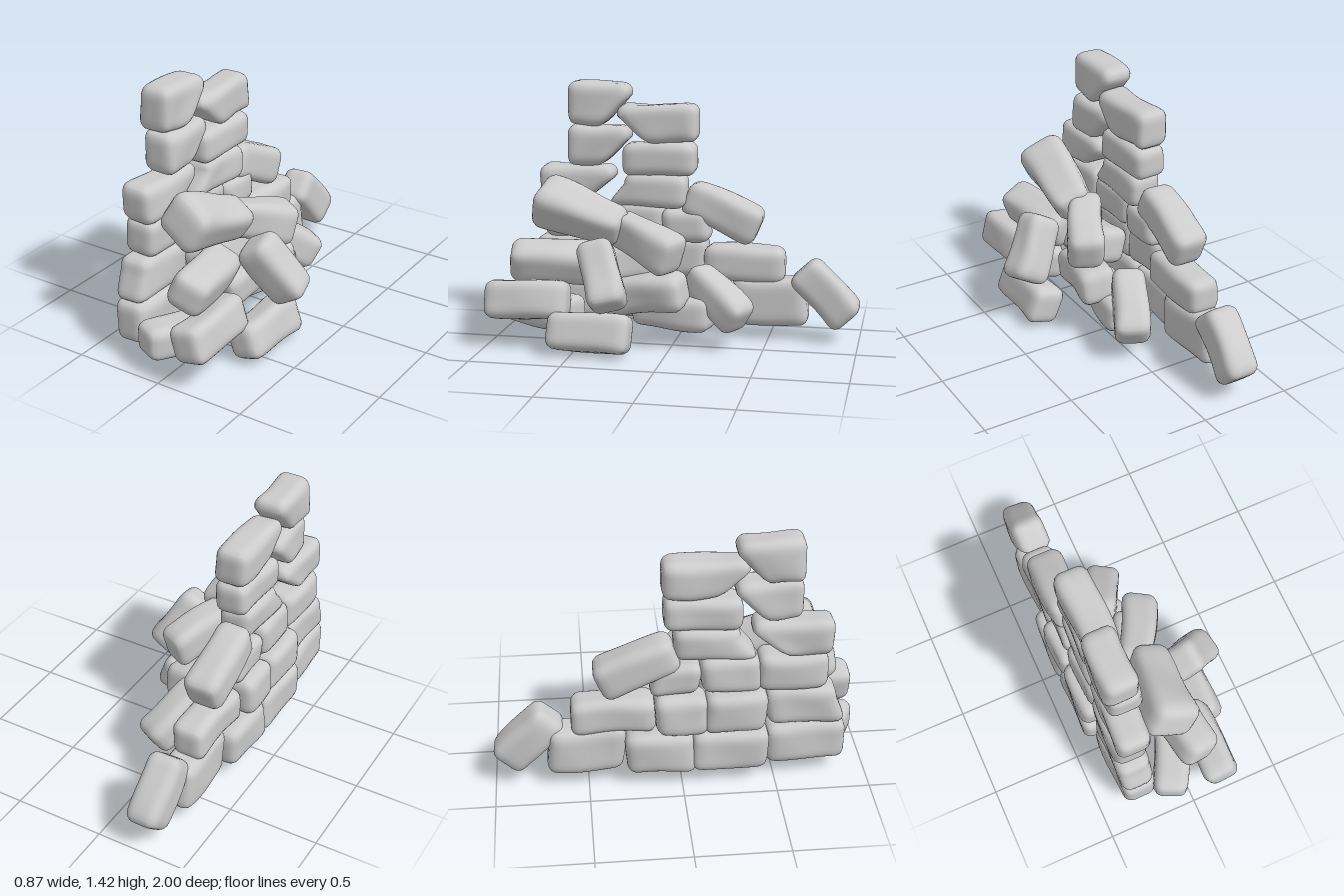
import * as THREE from 'three';
import { mergeVertices } from 'three/addons/utils/BufferGeometryUtils.js';

const material = new THREE.MeshStandardMaterial({ color: 0xcccccc });

// Box with soft rounded edges and gently worn sides; reshape(p) then moves each point
function stoneMesh(name, w, h, l, seed, reshape) {
  let geo = new THREE.BoxGeometry(w, h, l, 10, 10, 12);
  geo.deleteAttribute('normal');
  geo.deleteAttribute('uv');
  geo = mergeVertices(geo, 1e-5);
  const r = Math.min(w, h, l) * 0.29;
  const high = new THREE.Vector3(w / 2 - r, h / 2 - r, l / 2 - r);
  const low = high.clone().negate();
  const pos = geo.attributes.position;
  const p = new THREE.Vector3(), core = new THREE.Vector3();
  for (let i = 0; i < pos.count; i++) {
    p.fromBufferAttribute(pos, i);
    core.copy(p).clamp(low, high);
    p.sub(core).setLength(r).add(core);
    p.x += 0.006 * Math.sin(13 * p.z + 9 * p.y + seed * 2.1);
    p.y += 0.006 * Math.sin(12 * p.z - 10 * p.x + seed * 3.7);
    reshape(p);
    pos.setXYZ(i, p.x, p.y, p.z);
  }
  geo.computeVertexNormals();
  const mesh = new THREE.Mesh(geo, material);
  mesh.name = name;
  return mesh;
}

// Stone lying along z; frontCut and backCut pull its lower corners inwards
function wallStone(name, seed, x, y0, y1, front, back, frontCut, backCut) {
  const h = y1 - y0, l = front - back;
  const mesh = stoneMesh(name, 0.19, h, l, seed, (p) => {
    const u = p.z / l + 0.5;
    const down = Math.max(0, 0.7 - p.y / h - 0.5) / 0.7;
    p.z += down * (backCut * (1 - u) - frontCut * u);
  });
  mesh.position.set(x, (y0 + y1) / 2, (front + back) / 2);
  return mesh;
}

// Tumbled stone between two end points, rolled about its length; taper > 0 widens the second end
function fallenStone(name, seed, a, b, roll, width, height, taper) {
  const from = new THREE.Vector3(...a), to = new THREE.Vector3(...b);
  const length = from.distanceTo(to);
  const mesh = stoneMesh(name, width, height, length, seed, (p) => {
    const k = 1 + taper * p.z / length;
    p.x *= k;
    p.y *= k;
  });
  const z = to.clone().sub(from).normalize();
  const x = new THREE.Vector3(Math.sin(roll), Math.cos(roll), 0).cross(z).normalize();
  mesh.quaternion.setFromRotationMatrix(new THREE.Matrix4().makeBasis(x, z.clone().cross(x), z));
  mesh.position.lerpVectors(from, to, 0.5);
  return mesh;
}

// Whole courses: bottom, top, top of the last stone, spread of the front foot, joints along z
const COURSES = [
  { y0: 0.09, y1: 0.33, endTop: 0.36, foot: 0, joints: [0.88, 0.46, 0.06, -0.3, -0.7] },
  { y0: 0.33, y1: 0.56, endTop: 0.53, foot: 0.06, joints: [0.82, 0.45, 0.13, -0.14, -0.58] },
  { y0: 0.55, y1: 0.76, endTop: 0.73, foot: 0, joints: [0.77, 0.41, 0.1, -0.15] },
];

// Broken upper stones: x, bottom, top, front, back, frontCut, backCut
const UPPER = [
  [-0.265, 0.75, 0.96, 0.8, 0.37, 0.01, 0.18],
  [-0.25, 0.735, 0.925, 0.31, -0.04, -0.11, 0],
  [-0.25, 0.965, 1.19, 0.63, 0.28, 0, 0.15],
  [-0.245, 0.915, 1.1, 0.32, -0.09, 0, 0],
  [-0.265, 1.185, 1.425, 0.63, 0.28, 0, 0.15],
  [-0.245, 1.1, 1.31, 0.35, -0.1, 0.16, 0],
];

// Stones fallen to the left: two ends, roll, width, height, taper
const RUBBLE = [
  [[-0.03, 0.8, 0.75], [0.01, 0.66, 0.27], 0.5, 0.24, 0.22, -0.3],
  [[-0.07, 0.66, 0.33], [0.135, 0.53, -0.04], 0, 0.19, 0.21, 0.15],
  [[0.175, 0.605, 0.385], [0.36, 0.295, 0.275], 0.93, 0.2, 0.21, 0.05],
  [[0, 0.455, 0.41], [0.1, 0.48, 0.88], 0.4, 0.21, 0.21, -0.05],
  [[0.175, 0.275, 1], [0.16, 0.275, 0.54], -0.25, 0.19, 0.21, 0],
  [[0.26, 0.125, 0.18], [0.25, 0.14, 0.63], -0.31, 0.19, 0.21, -0.1],
  [[-0.04, 0.26, 0.4], [0.07, 0.34, -0.08], 0.1, 0.21, 0.2, 0],
  [[-0.12, 0.18, 0.95], [0.08, 0.18, 0.52], 0, 0.2, 0.19, 0.1],
  [[-0.1, 0.4, -0.1], [0.06, 0.18, -0.39], 0, 0.19, 0.19, 0.1],
  [[-0.09, 0.42, 0.5], [-0.13, 0.44, 0.1], -0.29, 0.2, 0.21, 0],
  [[-0.08, 0.2, 0.22], [0, 0.2, -0.22], 0, 0.2, 0.19, 0],
];

export function createModel() {
  const model = new THREE.Group();
  model.name = 'ruinedStoneWall';
  const wall = new THREE.Group();
  wall.name = 'wall';
  const rubble = new THREE.Group();
  rubble.name = 'rubble';
  model.add(wall, rubble);

  // standing courses, with the middle stones bulging outwards
  COURSES.forEach(({ y0, y1, endTop, foot, joints }, row) => {
    const count = joints.length - 1;
    for (let i = 0; i < count; i++) {
      const last = i === count - 1;
      const x = i === 0 || last || row === 2 ? -0.275 : -0.325;
      const seed = row * 4 + i;
      const cut = 0.02 * Math.sin(seed * 2.7);
      wall.add(wallStone(`course${row + 1}Stone${i + 1}`, seed, x, y0, last ? endTop : y1,
        joints[i] + 0.005, joints[i + 1] - 0.005, i === 0 ? -foot : cut, -cut));
    }
  });
  UPPER.forEach((spec, i) => wall.add(wallStone(`upperStone${i + 1}`, i + 13, ...spec)));

  // slab sliding off the broken edge, and the stone leaning on the end
  wall.add(fallenStone('slidingStone', 4,
    [-0.28, 0.8, -0.03], [-0.28, 0.63, -0.44], 0, 0.2, 0.21, 0.1));
  wall.add(fallenStone('leaningStone', 7,
    [-0.25, 0.42, -0.685], [-0.25, 0.14, -0.945], 0, 0.19, 0.21, 0));

  RUBBLE.forEach((spec, i) => rubble.add(fallenStone(`fallenStone${i + 1}`, i + 1, ...spec)));
  return model;
}
